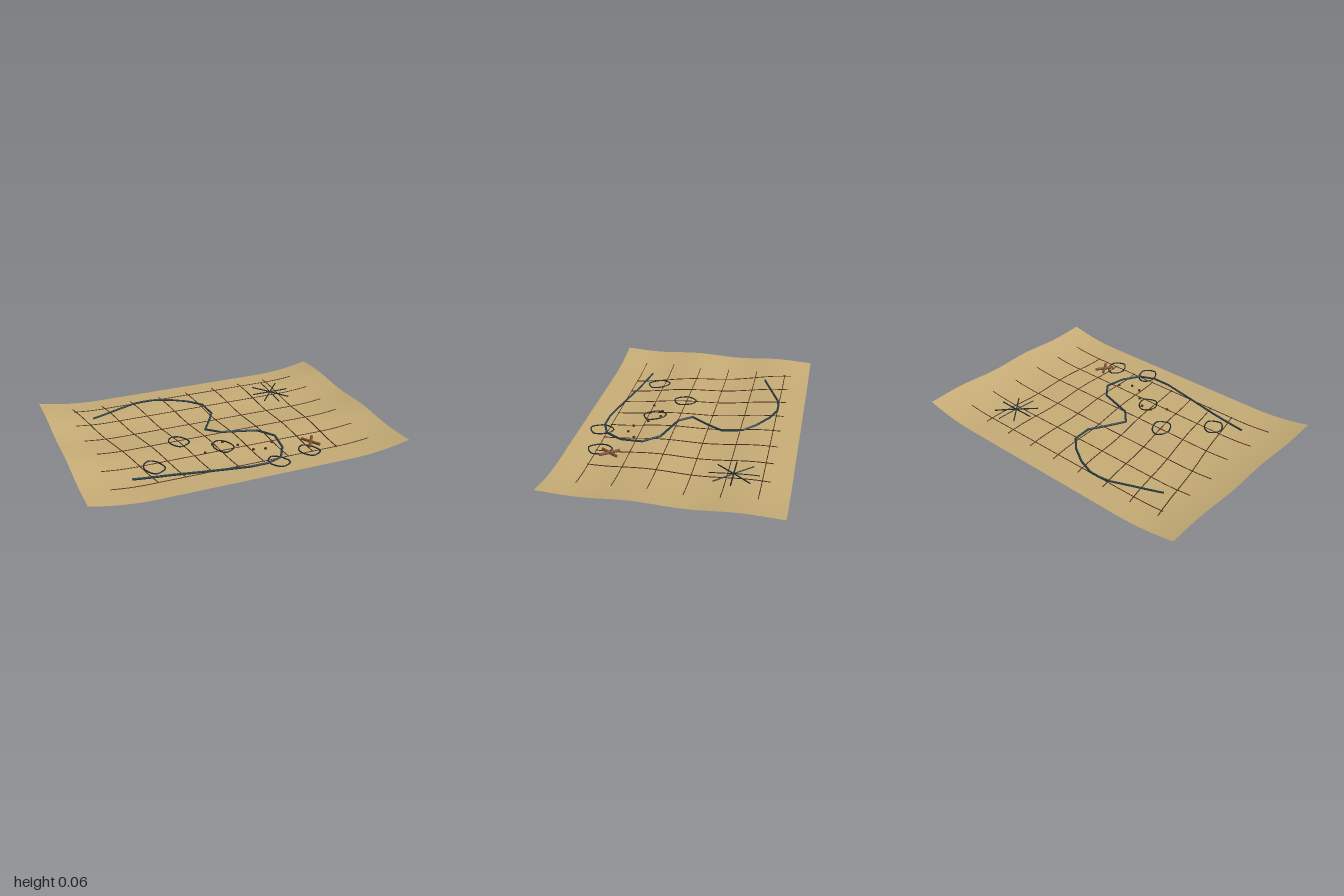
import * as THREE from 'three';
import { mergeGeometries } from 'three/addons/utils/BufferGeometryUtils.js';

const flat = (name, color, side = THREE.FrontSide) => {
  const m = new THREE.MeshStandardMaterial({ color, side });
  m.name = name;
  return m;
};

// Height of the parchment: gentle ripples along z, ends curling up
const sheetY = (x, z) =>
  0.012 + 0.0065 * Math.cos((z - 0.15) * Math.PI * 2 / 0.6)
  + 0.048 * (Math.max(0, Math.abs(x) - 0.6) / 0.4) ** 2;

// Ink line through [x, z] points, laid on the parchment in short rods
function stroke(points, radius, lift = radius + 0.001) {
  const path = [];
  for (let i = 0; i < points.length - 1; i++) {
    const [x0, z0] = points[i], [x1, z1] = points[i + 1];
    const n = Math.ceil(Math.hypot(x1 - x0, z1 - z0) / 0.05);
    for (let k = i ? 1 : 0; k <= n; k++) {
      const x = x0 + (x1 - x0) * k / n, z = z0 + (z1 - z0) * k / n;
      path.push(new THREE.Vector3(x, sheetY(x, z) + lift, z));
    }
  }
  const up = new THREE.Vector3(0, 1, 0);
  const rods = path.slice(1).map((b, i) => {
    const a = path[i], d = b.clone().sub(a), len = d.length();
    const g = new THREE.CylinderGeometry(radius, radius, len + radius * 0.5, 6);
    g.applyQuaternion(new THREE.Quaternion().setFromUnitVectors(up, d.normalize()));
    const mid = a.clone().add(b).multiplyScalar(0.5);
    return g.translate(mid.x, mid.y, mid.z);
  });
  return mergeGeometries(rods);
}

export function createModel() {
  const root = new THREE.Group();
  root.name = 'chart';
  const parchment = flat('parchment', 0xc6ac76, THREE.DoubleSide);
  const gridInk = flat('brownInk', 0x4e301c);
  const coastInk = flat('blueInk', 0x2a3e46);
  const blackInk = flat('blackInk', 0x1c282c);
  const markInk = flat('rustInk', 0x80502a);
  const add = (name, geometry, material) => {
    const mesh = new THREE.Mesh(geometry, material);
    mesh.name = name;
    root.add(mesh);
  };

  // Parchment sheet
  const sheet = new THREE.PlaneGeometry(2, 1.38, 80, 56).rotateX(-Math.PI / 2);
  const pos = sheet.attributes.position;
  for (let i = 0; i < pos.count; i++) pos.setY(i, sheetY(pos.getX(i), pos.getZ(i)));
  sheet.computeVertexNormals();
  add('parchmentSheet', sheet, parchment);

  // Grid: level rows and slanting columns
  const rows = [], columns = [];
  for (let i = 0; i < 6; i++) {
    const z = -0.52 + i * 0.206;
    const x0 = i === 0 || i === 3 ? -0.8 : -0.83;
    rows.push(stroke([[x0, z], [i ? 0.825 : 0.8, z]], 0.0025));
  }
  for (let i = 0; i < 8; i++) {
    columns.push(stroke([[-0.8 + i * 0.2, -0.565], [-0.55 + i * 0.1643, 0.515]], 0.003));
  }
  add('gridRows', mergeGeometries(rows), gridInk);
  add('gridColumns', mergeGeometries(columns), gridInk);

  // Coastline
  const coast = [
    [-0.7, -0.39], [-0.55, -0.45], [-0.4, -0.51], [-0.33, -0.52], [-0.26, -0.52],
    [-0.15, -0.48], [-0.04, -0.41], [0.04, -0.33], [0.055, -0.2], [-0.01, -0.09],
    [-0.075, 0.015], [0, 0.095], [0.22, 0.16], [0.3, 0.26], [0.285, 0.4], [0.22, 0.51],
    [0.12, 0.55], [0, 0.55], [-0.22, 0.51], [-0.45, 0.465], [-0.68, 0.43],
  ];
  add('coastline', stroke(coast, 0.0068), coastInk);

  // Island outlines, one rounded shape repeated
  const outline = new THREE.CatmullRomCurve3([
    [-0.018, -0.072], [0.03, -0.05], [0.06, 0.03], [0.028, 0.062],
    [-0.015, 0.072], [-0.058, 0.012], [-0.054, -0.035],
  ].map(([x, z]) => new THREE.Vector3(x, 0, z)), true).getPoints(24);
  const islands = [[-0.288, 0.107], [-0.523, 0.342], [-0.052, 0.262], [0.188, 0.55], [0.422, 0.492]];
  add('islands', mergeGeometries(islands.map(([cx, cz]) =>
    stroke(outline.map(p => [cx + p.x, cz + p.z]), 0.0042))), blackInk);

  // Compass star
  const cx = 0.557, cz = -0.35;
  const rays = [[0.128, 0], [0, 0.15], [0.09, 0.105], [0.09, -0.105]];
  add('compassStar', mergeGeometries(rays.map(([x, z]) =>
    stroke([[cx - x, cz - z], [cx + x, cz + z]], x ? 0.004 : 0.003, 0.007))), blackInk);

  // Dotted trail
  const dots = [[-0.185, 0.3], [-0.11, 0.225], [-0.04, 0.22], [0.035, 0.285],
    [0.105, 0.365], [0.18, 0.38], [0.25, 0.325]];
  add('trailDots', mergeGeometries(dots.map(([x, z]) =>
    new THREE.CylinderGeometry(0.009, 0.009, 0.008, 8).translate(x, sheetY(x, z) + 0.008, z))), gridInk);

  // Crossed mark at the trail's end
  add('crossMark', mergeGeometries([-1, 1].map(s =>
    stroke([[0.47 - s * 0.035, 0.365], [0.47 + s * 0.035, 0.47]], 0.009, 0.018))), markInk);

  return root;
}
